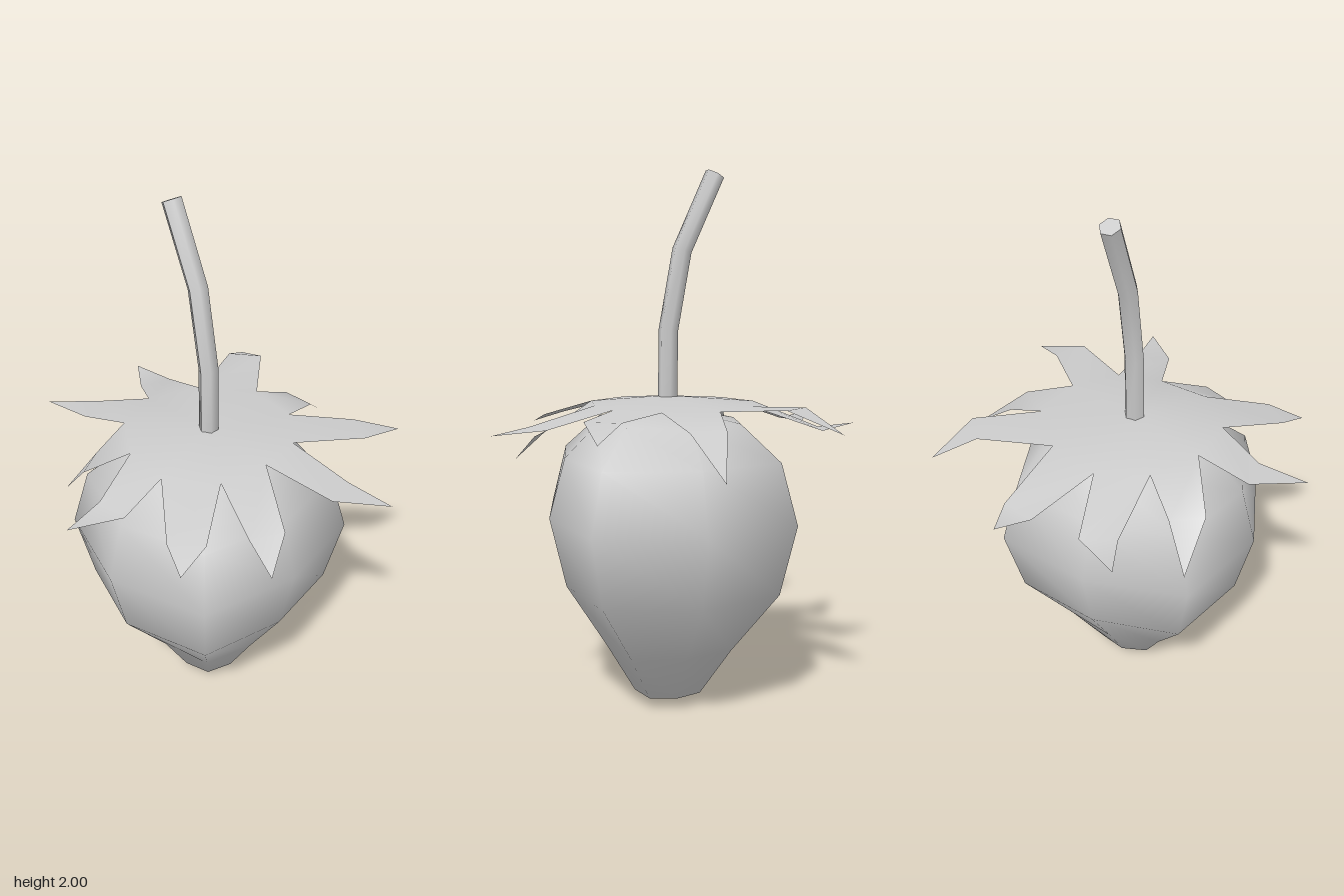
import * as THREE from 'three';
import { mergeVertices } from 'three/addons/utils/BufferGeometryUtils.js';

const grey = (side = THREE.FrontSide) => new THREE.MeshStandardMaterial({ color: 0xcccccc, side });

// Eight-sided fruit with smooth shading, a little square in plan.
function createBerry() {
  // height, radius along x, radius along z, radius on the diagonals
  const rows = [
    [0, 0, 0, 0], [0.05, 0.13, 0.13, 0.14], [0.24, 0.24, 0.24, 0.27], [0.48, 0.39, 0.43, 0.46],
    [0.74, 0.45, 0.49, 0.525], [0.96, 0.39, 0.43, 0.46], [1.09, 0.26, 0.3, 0.3], [1.14, 0, 0, 0],
  ];
  let g = new THREE.LatheGeometry(rows.map(([y, r]) => new THREE.Vector2(r, y)), 8);
  const p = g.attributes.position;
  for (let s = 0; s <= 8; s++) {
    const a = (s * Math.PI) / 4;
    rows.forEach(([y, rx, rz, rd], k) => {
      const r = s % 2 ? rd : s % 4 ? rx : rz;
      p.setXYZ(s * rows.length + k, Math.sin(a) * r, y, Math.cos(a) * r);
    });
  }
  g.deleteAttribute('uv');
  g.deleteAttribute('normal');
  g = mergeVertices(g, 1e-4);
  g.computeVertexNormals();
  return new THREE.Mesh(g, grey());
}

// Ten pointed leaves around a shallow hub.
function createCalyx() {
  // start notch x,z | middle x,y,z | tip x,y,z
  const leaves = [
    [-0.09, -0.34, 0, 1.1, -0.485, 0, 0.96, -0.66],
    [0.11, -0.31, 0.345, 1.14, -0.44, 0.4, 1.09, -0.61],
    [0.25, -0.18, 0.51, 1.09, -0.145, 0.68, 1.08, -0.22],
    [0.28, -0.01, 0.455, 1.03, 0.16, 0.54, 0.93, 0.22],
    [0.25, 0.18, 0.35, 1.08, 0.43, 0.42, 1.04, 0.52],
    [0.09, 0.31, 0.005, 1.05, 0.465, 0.01, 1.07, 0.66],
    [-0.1, 0.29, -0.295, 1.03, 0.33, -0.41, 0.87, 0.37],
    [-0.27, 0.18, -0.545, 1.06, 0.115, -0.68, 1.08, 0.23],
    [-0.34, 0, -0.53, 1.06, -0.195, -0.66, 1.08, -0.21],
    [-0.26, -0.2, -0.305, 1.17, -0.49, -0.43, 1.09, -0.6],
  ];
  const n = leaves.length, pos = [0, 1.18, 0], index = [];
  leaves.forEach(([nx, nz, mx, my, mz, tx, ty, tz], i) => {
    const [ox, oz] = leaves[(i + 1) % n];
    // half width across the leaf, square to its run
    const dx = tx - (nx + ox) / 2, dz = tz - (nz + oz) / 2;
    const w = 0.065 / Math.hypot(dx, dz);
    pos.push(nx, 1.15, nz, mx + dz * w, my, mz - dx * w, tx, ty, tz, mx - dz * w, my, mz + dx * w);
    const a = 1 + i * 4, b = a + 1, tip = a + 2, c = a + 3, d = 1 + ((i + 1) % n) * 4;
    index.push(0, d, a, a, d, c, a, c, b, b, c, tip);
  });
  const g = new THREE.BufferGeometry();
  g.setAttribute('position', new THREE.Float32BufferAttribute(pos, 3));
  g.setIndex(index);
  g.computeVertexNormals();
  return new THREE.Mesh(g, grey(THREE.DoubleSide));
}

// Six-sided stalk bent over its joints.
function createStem() {
  // x, y, tilt about z, from base to top
  const joints = [[0, 1.1, 0], [-0.003, 1.42, 0.1], [-0.055, 1.71, 0.31], [-0.18, 1.985, 0.43]];
  const g = new THREE.CylinderGeometry(0.037, 0.037, 3, 6, 3);
  const p = g.attributes.position;
  for (let i = 0; i < p.count; i++) {
    const [x, y, tilt] = joints[Math.round(p.getY(i) + 1.5)];
    const r = p.getX(i);
    p.setXY(i, x + r * Math.cos(tilt), y + r * Math.sin(tilt));
  }
  g.computeVertexNormals();
  return new THREE.Mesh(g, grey());
}

export function createModel() {
  const model = new THREE.Group();
  model.name = 'strawberry';
  const parts = { berry: createBerry(), leafCalyx: createCalyx(), stem: createStem() };
  for (const [name, mesh] of Object.entries(parts)) {
    mesh.name = name;
    model.add(mesh);
  }
  return model;
}
